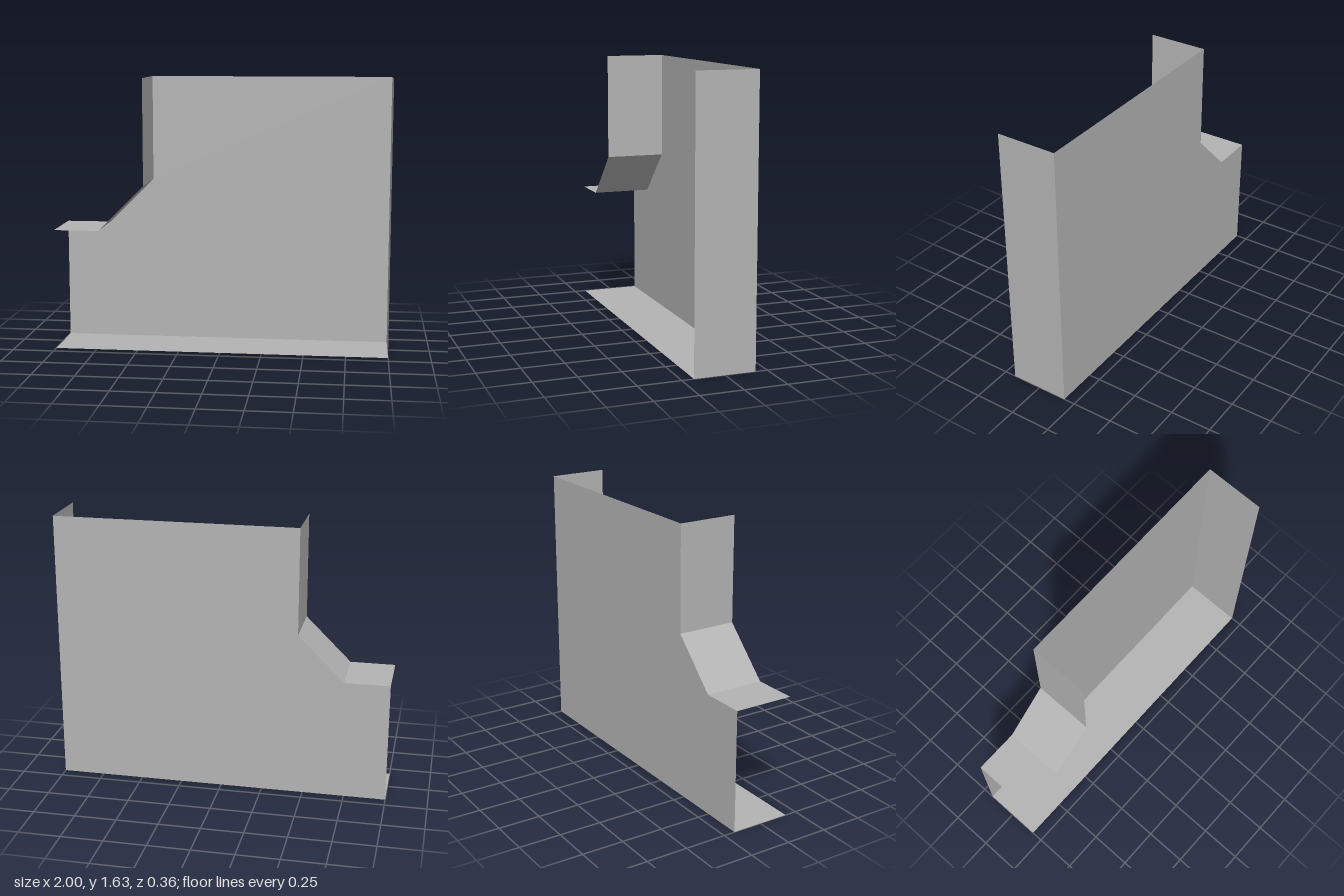
import * as THREE from 'three';

// Folded sheet-metal panel: a flat web with flanges bent forward along its edges
export function createModel() {
  const group = new THREE.Group();
  group.name = 'foldedPanel';

  const sheetGrey = new THREE.MeshStandardMaterial({ color: 0xb4b4b4, side: THREE.DoubleSide });
  sheetGrey.name = 'sheetGrey';

  const depth = 0.36;
  const back = -depth / 2;

  // Outline of the web, counter-clockwise from the lower left
  const outline = [
    [-1, 0], [1, 0], [1, 1.635], [-0.455, 1.635],
    [-0.455, 1], [-0.73, 0.727], [-1, 0.727],
  ].map(([x, y]) => new THREE.Vector2(x, y));

  const web = new THREE.Mesh(new THREE.ShapeGeometry(new THREE.Shape(outline)), sheetGrey);
  web.name = 'web';
  web.position.z = back;
  group.add(web);

  // Flange standing forward from the outline edge that starts at the given corner
  function addFlange(name, corner) {
    const a = outline[corner];
    const b = outline[(corner + 1) % outline.length];
    const geometry = new THREE.PlaneGeometry(a.distanceTo(b), depth);
    geometry.rotateX(Math.PI / 2);
    const flange = new THREE.Mesh(geometry, sheetGrey);
    flange.name = name;
    flange.position.set((a.x + b.x) / 2, (a.y + b.y) / 2, 0);
    flange.rotation.z = Math.atan2(b.y - a.y, b.x - a.x);
    group.add(flange);
  }

  // The top edge and the short end stay open
  addFlange('bottomFlange', 0);
  addFlange('sideFlange', 1);
  addFlange('upperNotchFlange', 3);
  addFlange('slopedNotchFlange', 4);
  addFlange('lowerNotchFlange', 5);

  return group;
}
